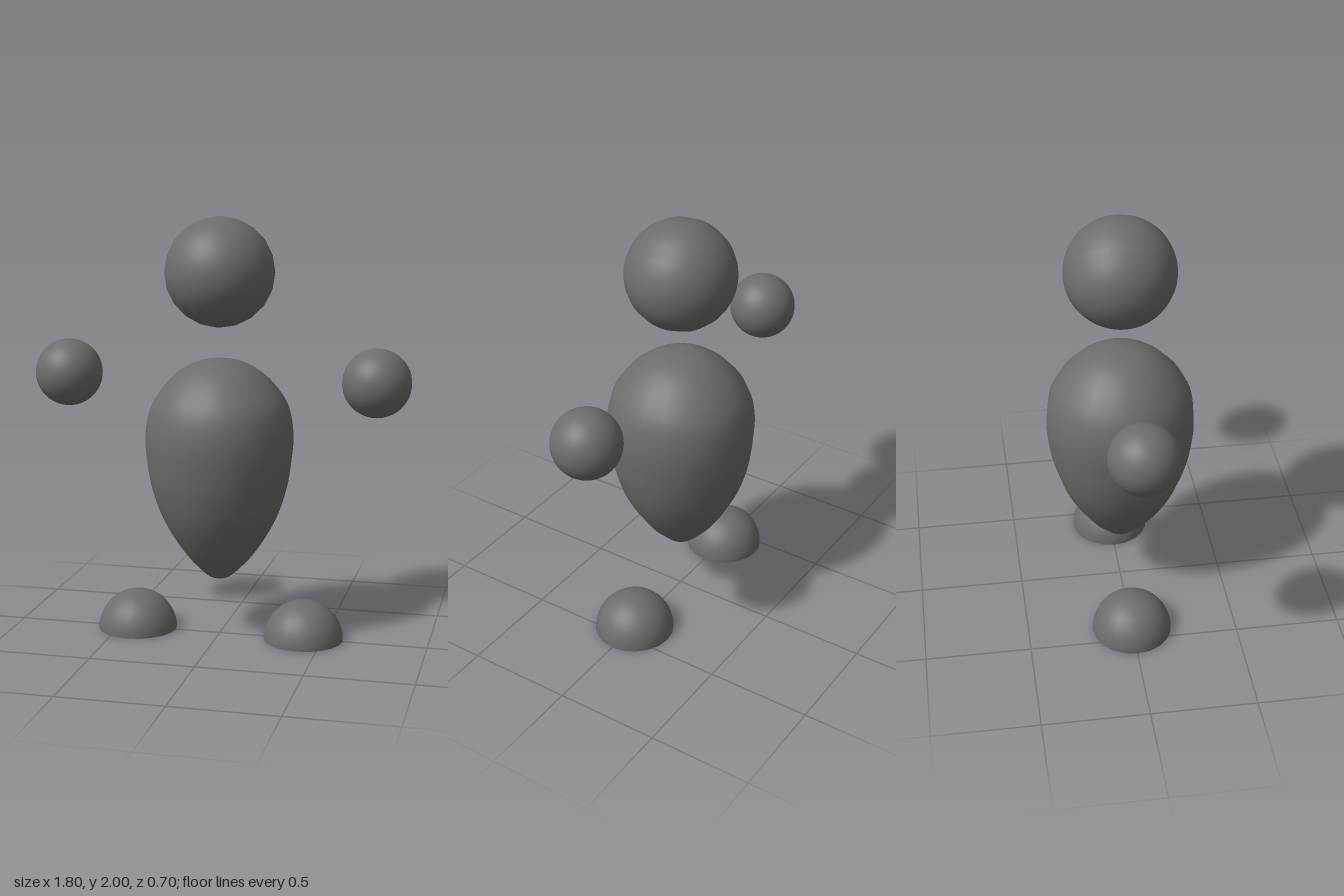
import * as THREE from 'three';

const material = new THREE.MeshStandardMaterial({ color: 0x6d6d6d });

function addPart(group, name, geometry, x, y) {
  const mesh = new THREE.Mesh(geometry, material);
  mesh.name = name;
  mesh.position.set(x, y, 0);
  group.add(mesh);
  return mesh;
}

export function createModel() {
  const model = new THREE.Group();
  model.name = 'floatingFigure';

  // Head, with its poles facing front and back
  addPart(model, 'head', new THREE.SphereGeometry(0.257, 20, 32).rotateX(Math.PI / 2), 0, 1.743);

  // Egg-shaped body tapering to a small rounded tip
  const profile = new THREE.SplineCurve([
    [0, 0.276], [0.05, 0.288], [0.105, 0.337], [0.162, 0.4], [0.229, 0.5], [0.28, 0.6],
    [0.314, 0.7], [0.336, 0.8], [0.351, 0.96], [0.33, 1.1], [0.272, 1.2], [0.19, 1.28],
    [0.1, 1.326], [0, 1.34],
  ].map(([r, y]) => new THREE.Vector2(r, y))).getPoints(52);
  profile.forEach((p) => { p.x = Math.max(p.x, 0); });
  addPart(model, 'body', new THREE.LatheGeometry(profile, 20), 0, 0);

  for (const [side, s] of [['left', 1], ['right', -1]]) {
    // Floating round hand
    addPart(model, side + 'Hand', new THREE.SphereGeometry(0.16, 32, 24), s * 0.74, 1.25);

    // Half-dome foot with a flat sole
    const foot = new THREE.Group();
    foot.name = side + 'Foot';
    foot.position.x = s * 0.41;
    addPart(foot, side + 'FootDome',
      new THREE.SphereGeometry(0.19, 20, 12, 0, Math.PI * 2, 0, Math.PI / 2), 0, 0);
    const sole = addPart(foot, side + 'Sole', new THREE.CircleGeometry(0.19, 20), 0, 0);
    sole.rotation.x = Math.PI / 2;
    model.add(foot);
  }
  return model;
}
